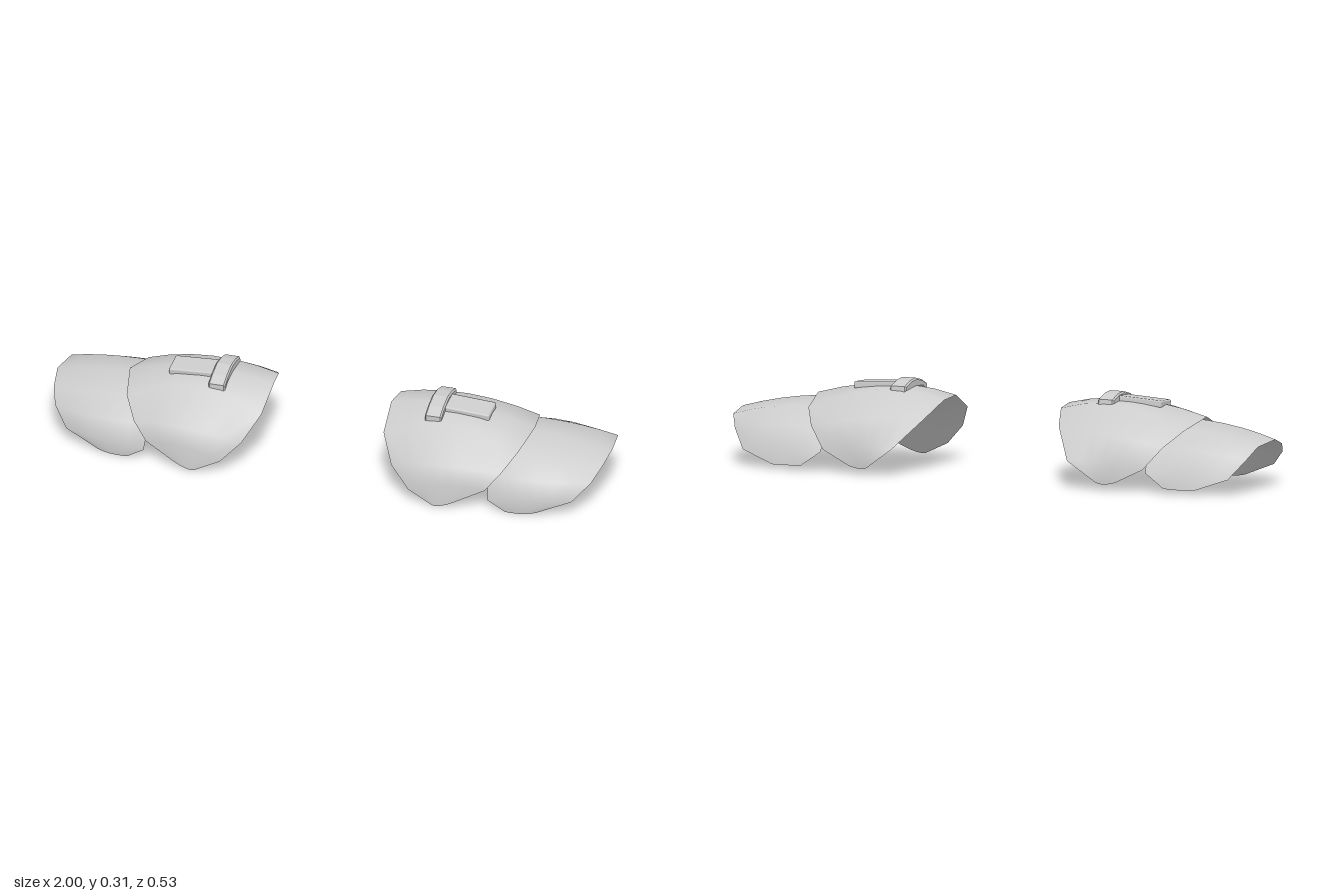
import * as THREE from 'three';
import { RoundedBoxGeometry } from 'three/addons/geometries/RoundedBoxGeometry.js';

// Each section runs over the arch from the front tip to the back tip: [x, y, z]
const UPPER = [
  [[.42, .012, .264], [.34, .05, .255], [.27, .12, .225], [.22, .2, .15], [.212, .257, .03],
    [.22, .25, -.06], [.25, .2, -.15], [.33, .1, -.265], [.42, .035, -.25]],
  [[.45, .008, .266], [.46, .09, .262], [.46, .157, .245], [.46, .262, .135], [.46, .284, .03],
    [.46, .275, -.07], [.46, .19, -.205], [.46, .1, -.246], [.45, .022, -.243]],
  [[.5, .025, .26], [.61, .08, .24], [.66, .14, .217], [.705, .2, .152], [.73, .237, .03],
    [.705, .205, -.115], [.66, .155, -.197], [.6, .08, -.235], [.5, .03, -.24]],
];
const LOWER = [
  [[.68, .003, .23], [.62, .04, .233], [.61, .13, .21], [.6, .195, .13], [.6, .23, .02],
    [.6, .2, -.1], [.6, .145, -.185], [.61, .07, -.234], [.68, .02, -.24]],
  [[.74, .004, .23], [.78, .06, .233], [.8, .13, .21], [.8, .185, .14], [.8, .22, .02],
    [.8, .203, -.1], [.8, .15, -.193], [.78, .07, -.228], [.74, .018, -.24]],
  [[.79, .012, .222], [.91, .06, .197], [.965, .115, .145], [.988, .152, .085], [1, .178, 0],
    [.985, .167, -.12], [.96, .125, -.165], [.91, .06, -.212], [.79, .018, -.237]],
];

// Middle sections of the thick inner faces, nearly straight from tip to crest
const UPPER_INSIDE = [[.45, .008, .266], [.46, .07, .205], [.46, .125, .15], [.46, .17, .11],
  [.46, .21, .02], [.46, .2, -.05], [.46, .14, -.115], [.46, .08, -.18], [.45, .022, -.243]];
const LOWER_INSIDE = [[.74, .004, .23], [.78, .06, .175], [.8, .11, .13], [.8, .14, .1],
  [.8, .165, 0], [.8, .165, -.04], [.8, .12, -.102], [.78, .07, -.17], [.74, .018, -.24]];
const ROWS = 6;

// Curved shell through three sections, mirrored by side (+1 or -1)
function shell([a, m, b], side, inward = false) {
  const pos = [], index = [], n = a.length;
  for (let r = 0; r <= ROWS; r++) {
    const t = r / ROWS;
    const wa = (1 - t) * (1 - 2 * t), wm = 4 * t * (1 - t), wb = t * (2 * t - 1);
    for (let c = 0; c < n; c++) {
      const p = [0, 1, 2].map(k => wa * a[c][k] + wm * m[c][k] + wb * b[c][k]);
      pos.push(p[0] * side, p[1], p[2]);
      if (r < ROWS && c < n - 1) {
        const i = r * n + c, j = i + n;
        if ((side > 0) !== inward) index.push(i, j, i + 1, j, j + 1, i + 1);
        else index.push(i, i + 1, j, j, i + 1, j + 1);
      }
    }
  }
  const g = new THREE.BufferGeometry();
  g.setAttribute('position', new THREE.Float32BufferAttribute(pos, 3));
  g.setIndex(index);
  g.computeVertexNormals();
  return g;
}

// Band with softened edges, from its z-y outline, extruded along x from x0 to x1
function band(outline, x0, x1, side) {
  const soft = .005;
  const shape = new THREE.Shape(outline.map(p => new THREE.Vector2(...p)));
  const g = new THREE.ExtrudeGeometry(shape, {
    depth: x1 - x0 - 2 * soft, bevelThickness: soft, bevelSize: soft, bevelOffset: -soft, bevelSegments: 1,
  });
  g.rotateY(-Math.PI / 2);
  g.translate((side > 0 ? x1 : -x0) - soft, 0, 0);
  return g;
}

export function createModel() {
  const model = new THREE.Group();
  model.name = 'shoulderArmor';
  const grey = new THREE.MeshStandardMaterial({ color: 0xcccccc, side: THREE.DoubleSide });
  grey.name = 'plain grey';

  for (const side of [1, -1]) {
    const pad = new THREE.Group();
    pad.name = side > 0 ? 'leftShoulderPad' : 'rightShoulderPad';
    const add = (name, geometry) => {
      const mesh = new THREE.Mesh(geometry, grey);
      mesh.name = name;
      pad.add(mesh);
      return mesh;
    };

    // Plates, each closed underneath by an inner face sharing its rim
    add('upperPlate', shell(UPPER, side));
    add('upperPlateInside', shell([UPPER[0], UPPER_INSIDE, UPPER[2]], side, true));
    add('lowerPlate', shell(LOWER, side));
    add('lowerPlateInside', shell([LOWER[0], LOWER_INSIDE, LOWER[2]], side, true));

    // Arched strap across the top of the upper plate
    add('crossStrap', band([[.125, .252], [.125, .277], [.085, .295], [.03, .308], [-.02, .304],
      [-.066, .29], [-.07, .262], [-.02, .272], [.03, .276], [.085, .27]], .36, .42, side));

    // Short strap running outward, sloping with the plate
    const strap = add('longStrap', new RoundedBoxGeometry(.165, .026, .09, 1, .006));
    strap.position.set(.495 * side, .278, .029);
    strap.rotation.set(.08, 0, -.06 * side);

    model.add(pad);
  }
  return model;
}
